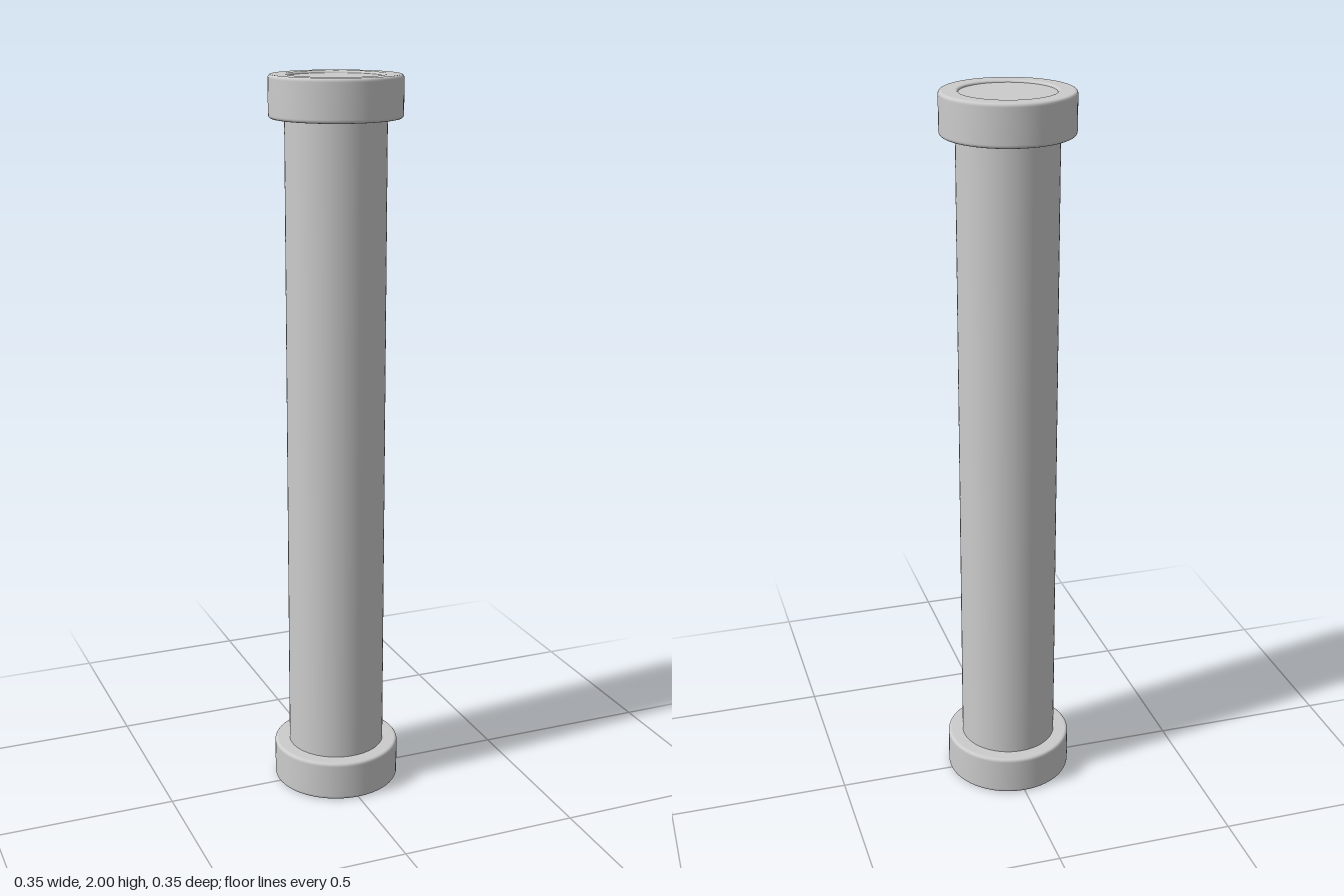
import * as THREE from 'three';

const SIDES = 64;
const material = new THREE.MeshStandardMaterial({ color: 0xcccccc });
const HEIGHT = 2, TUBE_R = 0.135, CAP_R = 0.177, CAP_H = 0.112, HOLE_R = 0.126;
const RECESS = 0.006, BEVEL = 0.01;

// Collar with rounded edges; its outer face is at y = 0 and it extends upward
function collarGeometry() {
  const shape = new THREE.Path();
  shape.moveTo(HOLE_R, RECESS);
  shape.quadraticCurveTo(HOLE_R + 0.001, 0, HOLE_R + 0.008, 0);
  shape.lineTo(CAP_R - BEVEL, 0);
  shape.quadraticCurveTo(CAP_R, 0, CAP_R, BEVEL);
  shape.lineTo(CAP_R, CAP_H - BEVEL);
  shape.quadraticCurveTo(CAP_R, CAP_H, CAP_R - BEVEL, CAP_H);
  shape.lineTo(TUBE_R - 0.003, CAP_H);
  return new THREE.LatheGeometry(shape.getPoints(5), SIDES);
}

// End cap: collar plus the shallow recessed disc closing the tube
function endCap(name) {
  const cap = new THREE.Group();
  cap.name = name;
  const collar = new THREE.Mesh(collarGeometry(), material);
  collar.name = 'collar';
  const disc = new THREE.Mesh(new THREE.CircleGeometry(HOLE_R + 0.001, SIDES), material);
  disc.name = 'endDisc';
  disc.rotation.x = Math.PI / 2;
  disc.position.y = RECESS;
  cap.add(collar, disc);
  return cap;
}

export function createModel() {
  const model = new THREE.Group();
  model.name = 'cappedTube';

  // Long shaft between the caps
  const shaft = new THREE.Mesh(
    new THREE.CylinderGeometry(TUBE_R, TUBE_R, HEIGHT - 2 * CAP_H + 0.04, SIDES, 1, true), material);
  shaft.name = 'shaft';
  shaft.position.y = HEIGHT / 2;

  const bottomCap = endCap('bottomCap');
  const topCap = endCap('topCap');
  topCap.rotation.x = Math.PI;
  topCap.position.y = HEIGHT;

  model.add(shaft, bottomCap, topCap);
  return model;
}
